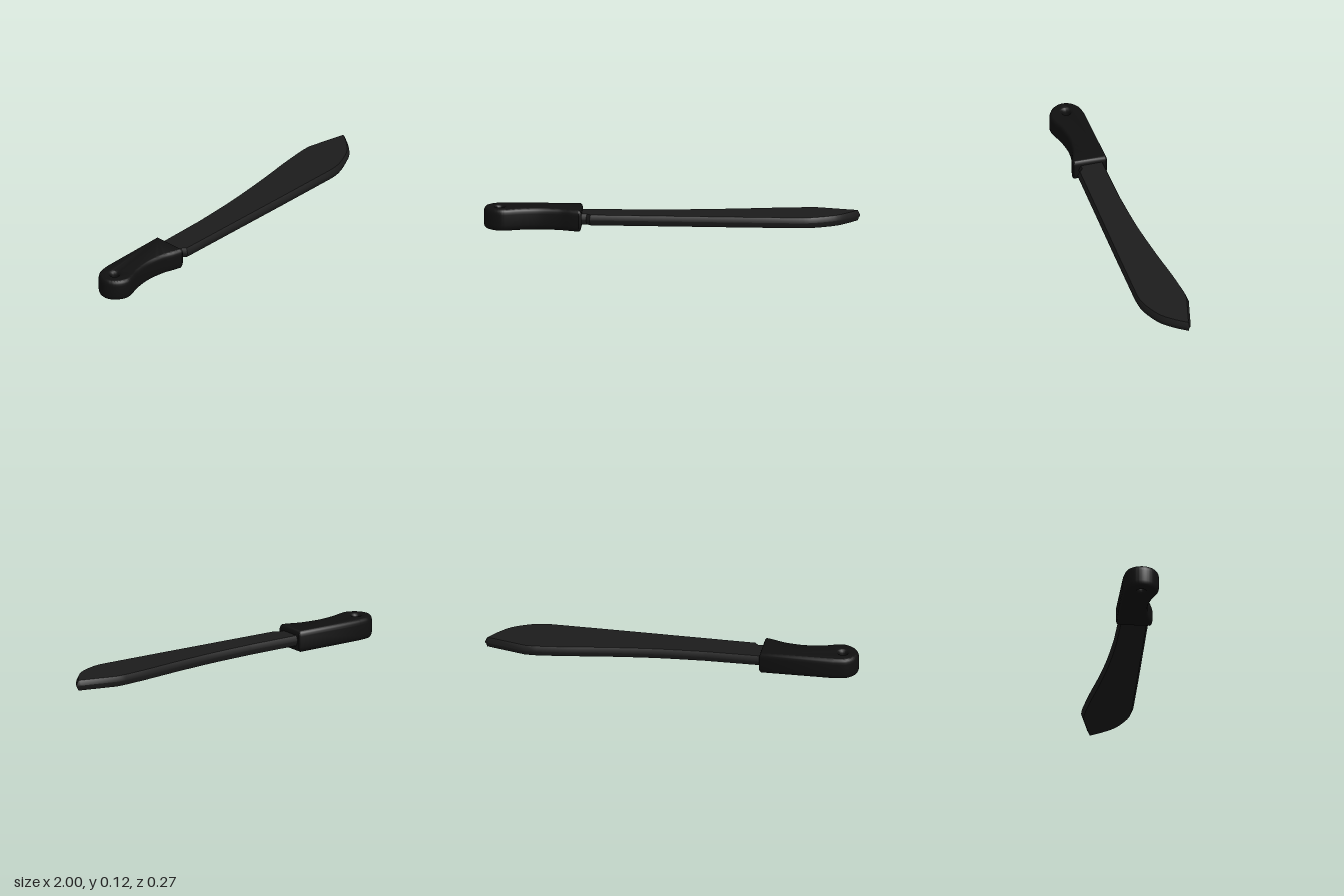
import * as THREE from 'three';
import { toCreasedNormals } from 'three/addons/utils/BufferGeometryUtils.js';

const MID_Y = 0.06;
// Plan points are [x, z]; shapes are drawn with z flipped, then laid flat.
const pts = (list) => list.map(([x, z]) => new THREE.Vector2(x, -z));

// Extrudes a plan outline to a slab of the given thickness, centred on MID_Y.
function slab(name, shape, thickness, bevelThickness, bevelSize, bevelSegments, crease, color) {
  const depth = thickness - 2 * bevelThickness;
  let geo = new THREE.ExtrudeGeometry(shape, {
    depth, bevelThickness, bevelSize, bevelSegments, bevelOffset: -bevelSize, curveSegments: 8,
  });
  geo.translate(0, 0, -depth / 2);
  geo.rotateX(-Math.PI / 2);
  geo = toCreasedNormals(geo, crease);
  const mesh = new THREE.Mesh(geo, new THREE.MeshStandardMaterial({ color }));
  mesh.name = name;
  mesh.position.y = MID_Y;
  return mesh;
}

function bladeShape() {
  const s = new THREE.Shape();
  s.moveTo(-0.55, -0.092);
  s.lineTo(-0.455, -0.092);
  s.lineTo(-0.435, -0.112);
  s.lineTo(0.3, -0.127);
  s.lineTo(0.68, -0.133);
  // curved belly up to the tip
  s.splineThru(pts([[0.74, 0.126], [0.81, 0.102], [0.887, 0.06], [0.95, -0.005], [0.998, -0.072]]));
  s.lineTo(0.98, 0.085);
  s.lineTo(0.775, 0.137);
  s.lineTo(0.72, 0.137);
  // sweeping spine
  s.splineThru(pts([[0.567, -0.121], [0.35, -0.091], [0.085, -0.063], [-0.18, -0.049]]));
  s.lineTo(-0.55, 0.048);
  s.closePath();
  return s;
}

function handleShape() {
  const s = new THREE.Shape();
  s.moveTo(-0.485, 0.068);
  s.lineTo(-0.87, 0.067);
  // rounded pommel, then the finger curve
  s.splineThru(pts([[-0.94, -0.056], [-0.985, -0.02], [-1, 0.03], [-0.985, 0.075], [-0.95, 0.108],
    [-0.905, 0.123], [-0.86, 0.115], [-0.8, 0.096], [-0.7, 0.083], [-0.6, 0.093], [-0.535, 0.114], [-0.492, 0.126]]));
  s.lineTo(-0.478, -0.118);
  s.lineTo(-0.476, 0.06);
  s.closePath();
  // lanyard hole
  const hole = new THREE.Path();
  hole.absarc(-0.915, -0.028, 0.02, 0, Math.PI * 2, true);
  s.holes.push(hole);
  return s;
}

export function createModel() {
  const group = new THREE.Group();
  group.name = 'machete';
  const blade = slab('blade', bladeShape(), 0.056, 0.0265, 0.012, 1, 0.5, 0x1c1c1c);
  blade.position.y = 0.0625;
  group.add(blade);
  group.add(slab('handle', handleShape(), 0.117, 0.03, 0.016, 4, 0.75, 0x101010));
  return group;
}
